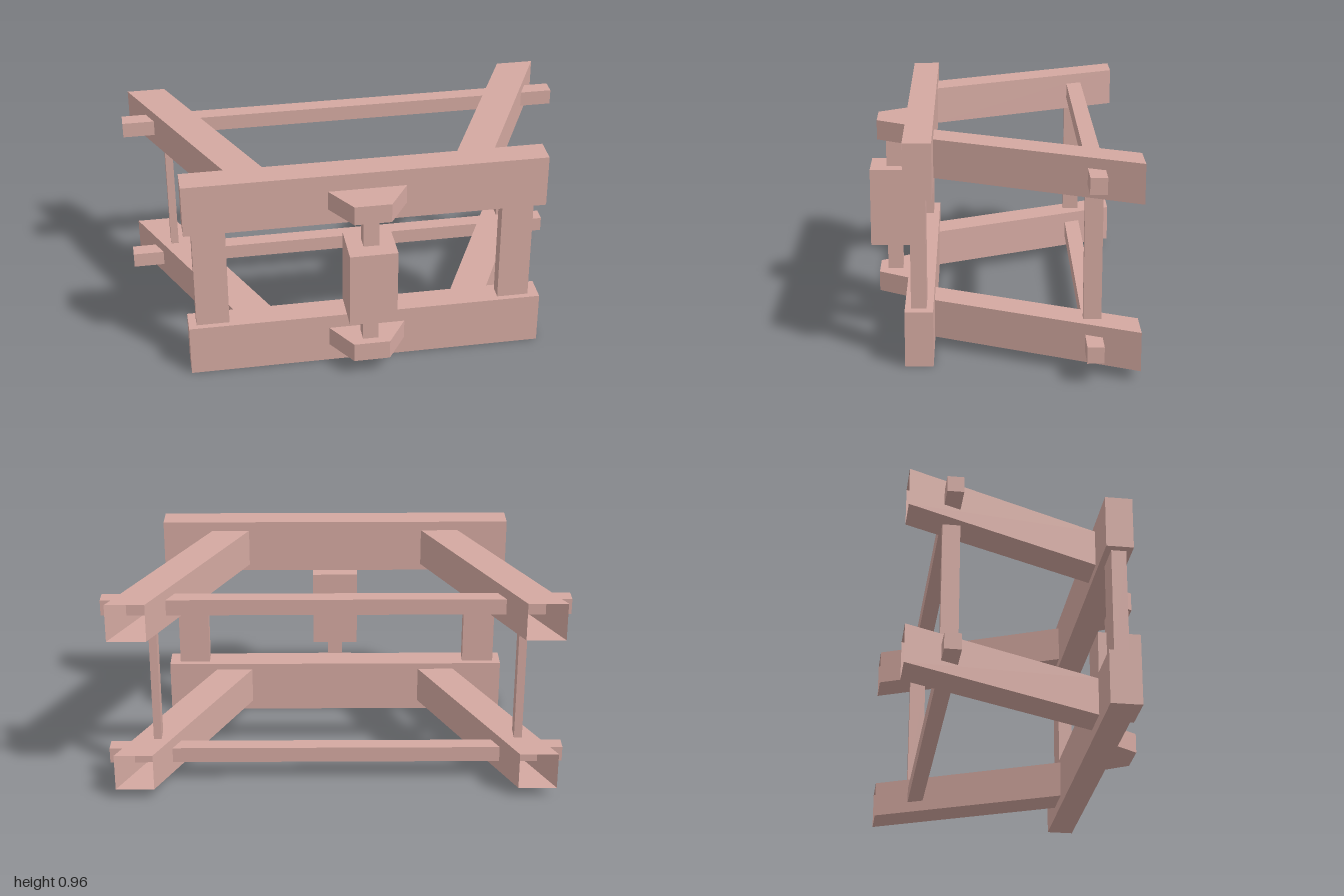
import * as THREE from 'three';

const material = new THREE.MeshStandardMaterial({ color: 0xd3a8a0, flatShading: true, side: THREE.DoubleSide });

// Box given by its limits on each axis
function box(name, [x0, x1], [y0, y1], [z0, z1]) {
  const mesh = new THREE.Mesh(new THREE.BoxGeometry(x1 - x0, y1 - y0, z1 - z0), material);
  mesh.position.set((x0 + x1) / 2, (y0 + y1) / 2, (z0 + z1) / 2);
  mesh.name = name;
  return mesh;
}

// Move the x of every vertex by a rule
function reshapeX(mesh, rule) {
  const p = mesh.geometry.attributes.position;
  for (let i = 0; i < p.count; i++) p.setX(i, rule(p.getX(i), p.getZ(i)));
  mesh.geometry.computeVertexNormals();
  return mesh;
}

// Hollow splayed arm, open at the rear end
function splayedArm(name, side, y) {
  const arm = box(name, [-0.084, 0.084], y, [-0.572, 0.275]);
  reshapeX(arm, (x, z) => x - side * 0.47 * z);
  arm.geometry.setIndex(Array.from(arm.geometry.index.array).slice(0, 30));
  arm.position.x = side * 0.679;
  return arm;
}

export function createModel() {
  const model = new THREE.Group();
  model.name = 'frame';

  // Lower and upper levels: front beam, arms, rear crossbar, trapezoid bracket
  const levels = [
    { name: 'lower', beam: [0, 0.24], arm: [0.045, 0.212], bar: [0.095, 0.165], bracket: [0.085, 0.175] },
    { name: 'upper', beam: [0.725, 0.963], arm: [0.755, 0.922], bar: [0.807, 0.877], bracket: [0.798, 0.886] },
  ];
  for (const l of levels) {
    model.add(box(l.name + 'FrontBeam', [-0.79, 0.788], l.beam, [0.277, 0.396]));
    model.add(splayedArm(l.name + 'LeftArm', 1, l.arm));
    model.add(splayedArm(l.name + 'RightArm', -1, l.arm));
    model.add(box(l.name + 'Crossbar', [-1, 1], l.bar, [-0.42, -0.35]));
    const bracket = box(l.name + 'Bracket', [-0.17, 0.17], l.bracket, [0.396, 0.537]);
    model.add(reshapeX(bracket, (x, z) => (z > 0 ? x * 0.47 : x)));
  }

  // Wide uprights between the front beams
  model.add(box('leftFrontPost', [0.6, 0.74], [0.24, 0.725], [0.305, 0.37]));
  model.add(box('rightFrontPost', [-0.755, -0.61], [0.24, 0.725], [0.305, 0.37]));

  // Thin uprights between the arms
  model.add(box('leftRearPost', [0.768, 0.802], [0.212, 0.755], [-0.42, -0.345]));
  model.add(box('rightRearPost', [-0.818, -0.783], [0.212, 0.755], [-0.42, -0.345]));

  // Central pin carrying the block
  model.add(box('pin', [-0.035, 0.033], [0.175, 0.798], [0.432, 0.5]));
  model.add(box('centreBlock', [-0.105, 0.103], [0.31, 0.662], [0.37, 0.572]));

  return model;
}
